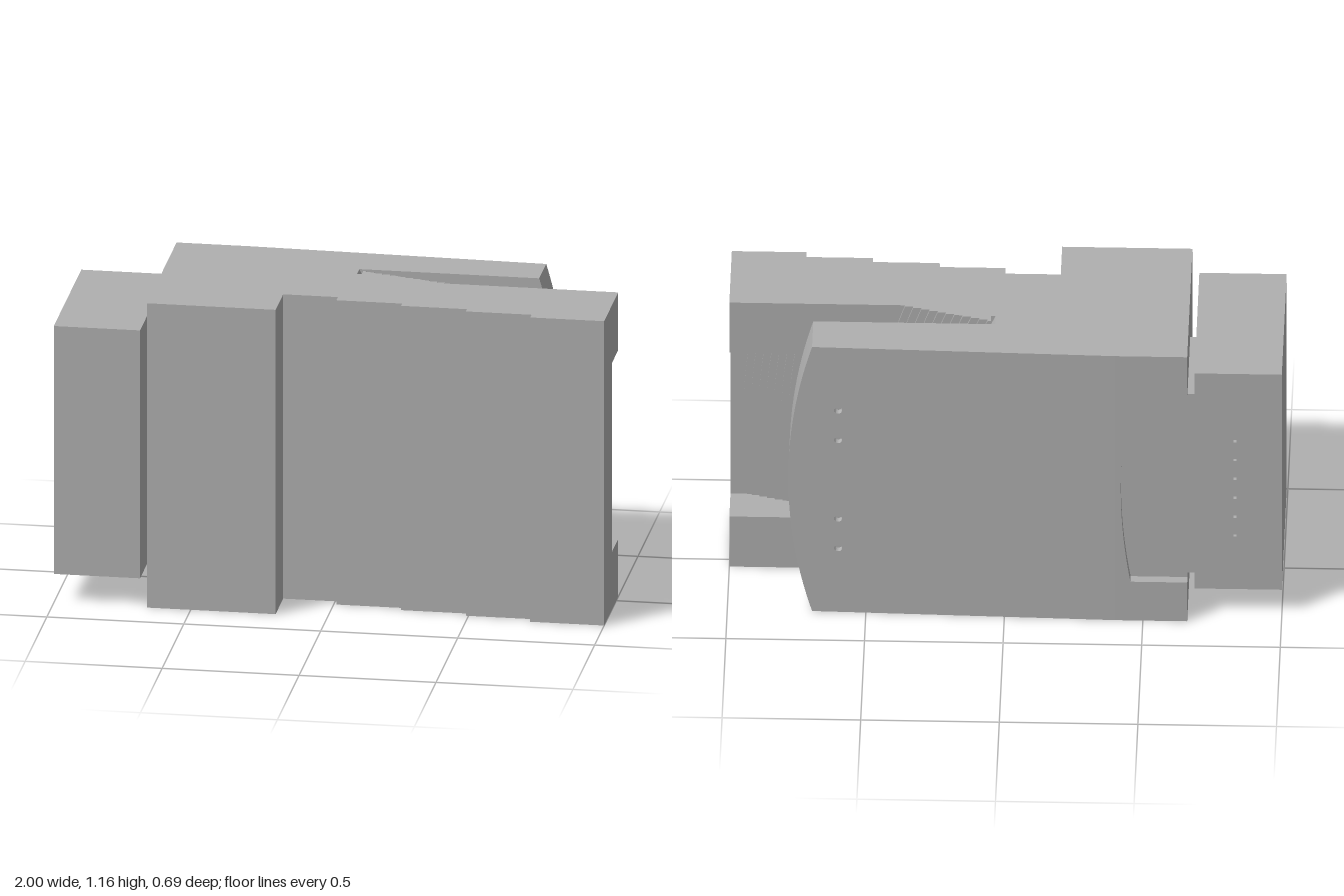
import * as THREE from 'three';
import { mergeGeometries } from 'three/addons/utils/BufferGeometryUtils.js';

const H = 1.16, MID = H / 2, LEFT = -0.66;
const ARC_X = -1.22; // shared centre of all the curved edges

// Points on a concentric arc from y0 to y1
function arc(r, y0, y1, n = 28) {
  return Array.from({ length: n + 1 }, (_, i) => {
    const y = y0 + (y1 - y0) * i / n;
    return [ARC_X + Math.sqrt(r * r - (y - MID) ** 2), y];
  });
}

const toShape = pts => new THREE.Shape(pts.map(p => new THREE.Vector2(p[0], p[1])));

// Slab with an outline in x, y between two depths
function slab(shape, z0, z1) {
  const g = new THREE.ExtrudeGeometry(shape, { depth: z1 - z0, bevelEnabled: false, curveSegments: 16 });
  return g.translate(0, 0, z0);
}

function box(x0, x1, y0, y1, z0, z1) {
  return new THREE.BoxGeometry(x1 - x0, y1 - y0, z1 - z0)
    .translate((x0 + x1) / 2, (y0 + y1) / 2, (z0 + z1) / 2);
}

export function createModel() {
  const model = new THREE.Group();
  const grey = new THREE.MeshStandardMaterial({ color: 0xb0b0b0 });
  grey.name = 'grey plastic';
  const add = (name, geometry) => {
    const mesh = new THREE.Mesh(geometry, grey);
    mesh.name = name;
    model.add(mesh);
  };

  // Stepped front of the body
  const steps = [[-0.66, -0.19, 0.34], [-0.19, 0.01, 0.165], [0.01, 0.25, 0.2],
    [0.25, 0.49, 0.225], [0.49, 0.73, 0.25], [0.73, 1, 0.28]];
  const profile = [[LEFT, -0.1]];
  steps.forEach(([a, b, z]) => profile.push([a, -z], [b, -z]));
  profile.push([1, -0.1]);
  const front = new THREE.ExtrudeGeometry(toShape(profile), { depth: H, bevelEnabled: false });
  add('steppedFront', front.rotateX(-Math.PI / 2));

  // Curved ribs climbing through the notch and into the slot
  const radius = z => 1.4 + (z + 0.135) * (0.8 / 0.235);
  const slotRibs = [slab(toShape([[LEFT, 0], ...arc(1.385, 0, H), [LEFT, H]]), -0.155, -0.135)];
  const SLOT = 11, NOTCH = 18;
  for (let i = 0; i < SLOT; i++) {
    const z0 = -0.135 + 0.09 * i / SLOT, z1 = -0.135 + 0.09 * (i + 1) / SLOT;
    const r = radius(z0 + 0.003);
    if (z1 < -0.1) { // narrow groove at the foot of the ramp
      slotRibs.push(slab(toShape([[LEFT, 0], ...arc(1.385, 0, H), [LEFT, H]]), z0, z1));
      slotRibs.push(slab(toShape([...arc(1.4, 0, H).reverse(), ...arc(r, 0, H)]), z0, z1));
    } else {
      slotRibs.push(slab(toShape([[LEFT, 0], ...arc(r, 0, H), [LEFT, H]]), z0, z1));
    }
  }
  add('slotRibs', mergeGeometries(slotRibs));

  const notchRibs = [];
  for (let i = 0; i < NOTCH; i++) {
    const z0 = -0.045 + 0.145 * i / NOTCH, z1 = -0.045 + 0.145 * (i + 1) / NOTCH;
    notchRibs.push(slab(toShape([[LEFT, 0], [1, 0], [1, 0.22],
      ...arc(radius(z0), 0.22, 0.94), [1, 0.94], [1, H], [LEFT, H]]), z0, z1));
  }
  add('notchRibs', mergeGeometries(notchRibs));

  // Flat part of the back with a curved recess
  add('backBase', box(LEFT, -0.4, 0, H, -0.31, -0.155));
  const recess = new THREE.Shape();
  recess.moveTo(LEFT, 0);
  recess.lineTo(-0.4, 0);
  recess.lineTo(-0.4, H);
  recess.lineTo(LEFT, H);
  recess.lineTo(LEFT, 0.99);
  recess.lineTo(-0.455, 0.99);
  recess.quadraticCurveTo(-0.385, MID, -0.455, 0.17);
  recess.lineTo(LEFT, 0.17);
  add('backRecessRim', slab(recess, -0.345, -0.31));

  // Tapering back plate with a bowed end and four pin holes
  const plate = toShape([[-0.4, 0], ...arc(2, 0, H), [-0.4, H]]);
  const pins = [0.28, 0.41, 0.755, 0.885];
  for (const y of pins) {
    const hole = new THREE.Path();
    hole.absarc(0.6, y, 0.014, 0, Math.PI * 2, true);
    plate.holes.push(hole);
  }
  const plateGeometry = slab(plate, -0.345, -0.155);
  const pos = plateGeometry.attributes.position;
  for (let i = 0; i < pos.count; i++) {
    if (pos.getZ(i) < -0.3) pos.setZ(i, -0.345 + 0.03 * (pos.getX(i) + 0.4) / 1.18);
  }
  plateGeometry.computeVertexNormals();
  add('backPlate', plateGeometry);
  add('pinHoleFloors', mergeGeometries(pins.map(y =>
    new THREE.CylinderGeometry(0.014, 0.014, 0.14, 16).rotateX(Math.PI / 2).translate(0.6, y, -0.226))));

  // End cap with a row of slits, and the neck that joins it
  add('neck', box(-0.685, LEFT, 0.19, 0.975, -0.31, 0.05));
  add('endCap', box(-1, -0.685, 0.11, 1.055, -0.28, 0.34));
  const capBack = toShape([[-1, 0.11], [-0.685, 0.11], [-0.685, 1.055], [-1, 1.055]]);
  for (let i = 0; i < 6; i++) {
    const y = 0.34 + i * 0.083;
    capBack.holes.push(new THREE.Path([[-0.837, y], [-0.837, y + 0.072], [-0.825, y + 0.072], [-0.825, y]]
      .map(p => new THREE.Vector2(...p))));
  }
  add('endCapSlits', slab(capBack, -0.295, -0.28));

  return model;
}
